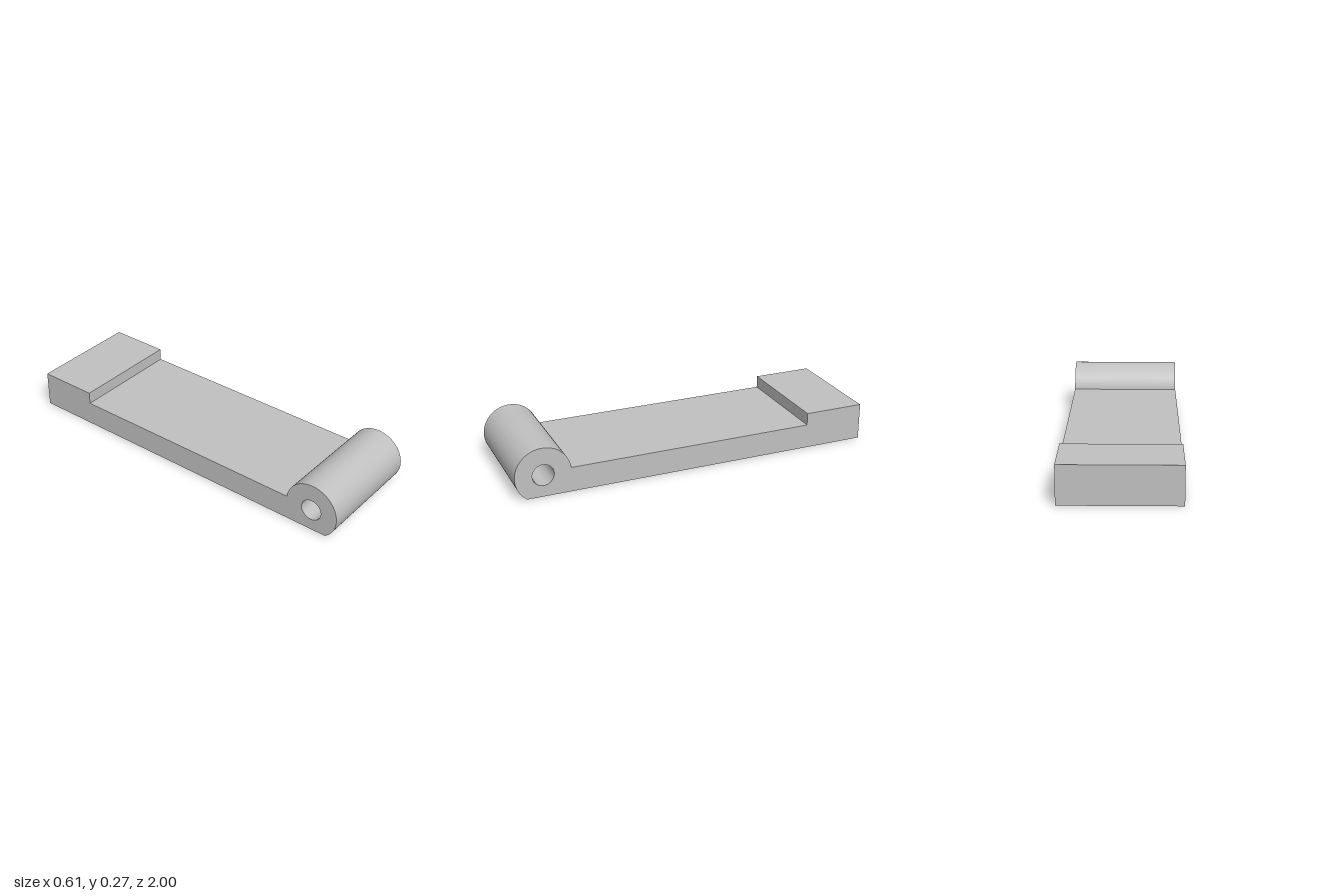
import * as THREE from 'three';
import { toCreasedNormals } from 'three/addons/utils/BufferGeometryUtils.js';

const WIDTH = 0.614;
const BARREL = { z: 0.85, y: 0.12, r: 0.15, hole: 0.058 };
const PLATE_TOP = 0.135;
const BLOCK_TOP = 0.203;
const BLOCK_FRONT = -0.665;

export function createModel() {
  const group = new THREE.Group();
  group.name = 'hingeLeaf';
  const grey = new THREE.MeshStandardMaterial({ color: 0xc0c0c0 });
  grey.name = 'light grey';

  // Angles where the barrel meets the plate top and the flat underside
  const startAngle = Math.PI - Math.asin((PLATE_TOP - BARREL.y) / BARREL.r);
  const endAngle = -Math.asin(BARREL.y / BARREL.r);

  // Side profile, drawn in z and y: end block, plate and barrel
  const profile = new THREE.Shape();
  profile.moveTo(-1, 0);
  profile.lineTo(-1, BLOCK_TOP);
  profile.lineTo(BLOCK_FRONT, BLOCK_TOP);
  profile.lineTo(BLOCK_FRONT, PLATE_TOP);
  profile.lineTo(BARREL.z + BARREL.r * Math.cos(startAngle), PLATE_TOP);
  profile.absarc(BARREL.z, BARREL.y, BARREL.r, startAngle, endAngle, true);
  profile.closePath();

  // Pin hole through the barrel
  const hole = new THREE.Path();
  hole.absarc(BARREL.z, BARREL.y, BARREL.hole, 0, Math.PI * 2, false);
  profile.holes.push(hole);

  // Extrude across the width, then turn the profile to run along z
  const geometry = new THREE.ExtrudeGeometry(profile, {
    depth: WIDTH, bevelEnabled: false, curveSegments: 64,
  });
  geometry.translate(0, 0, -WIDTH / 2);
  geometry.rotateY(-Math.PI / 2);

  const leaf = new THREE.Mesh(toCreasedNormals(geometry, 0.5), grey);
  leaf.name = 'plateWithBarrelAndEndBlock';
  group.add(leaf);
  return group;
}
